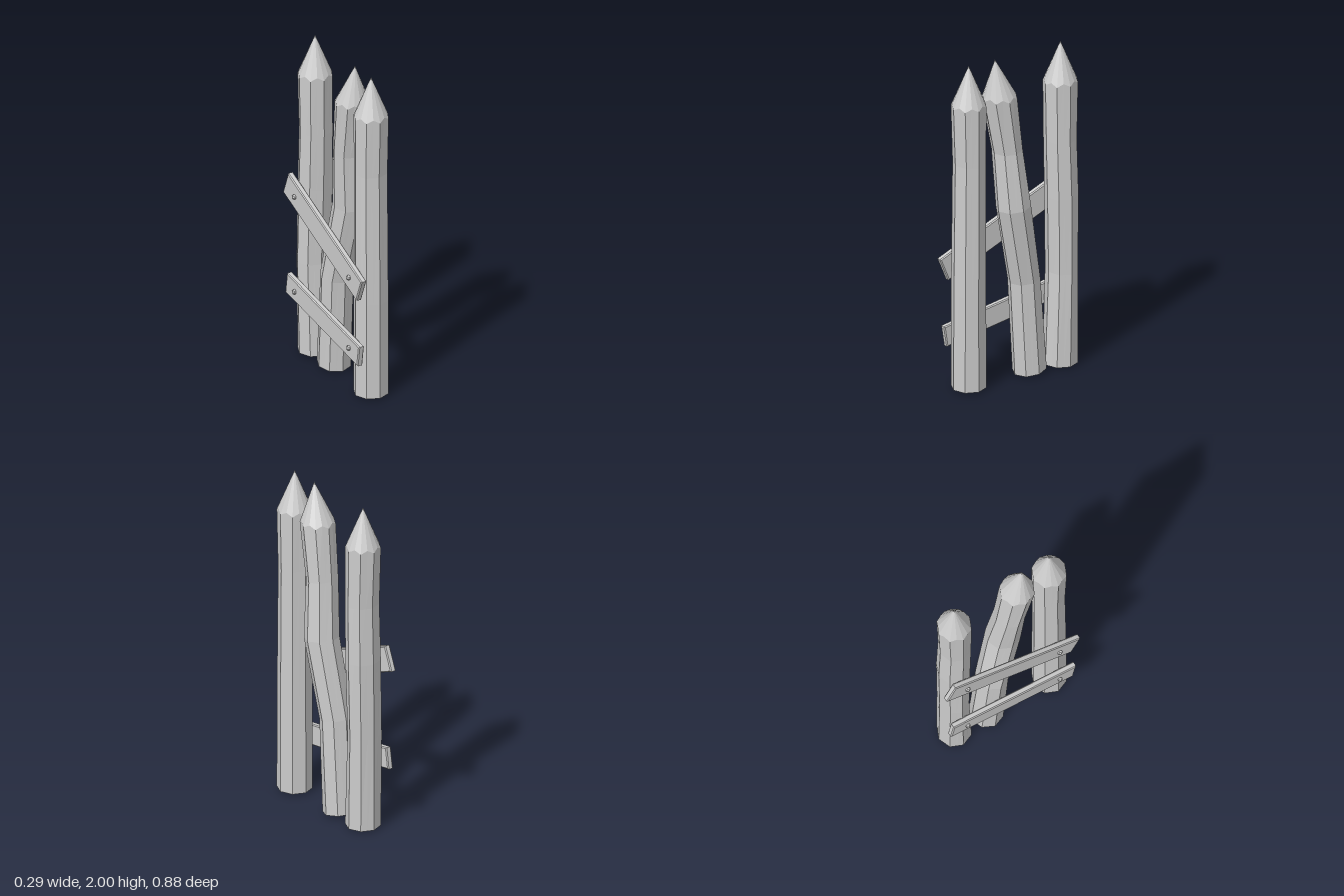
import * as THREE from 'three';

const material = new THREE.MeshStandardMaterial({ color: 0xcccccc, flatShading: true });
const SIDES = 16; // eight corners plus the middle of each flat face

// Sharpened octagonal stake lofted through rings of [y, x, z, radiusX, radiusZ, tilt]
function stake(name, rings, apex) {
  const points = [];
  const index = [];
  rings.forEach(([y, x, z, rx, rz, tilt = 0], k) => {
    for (let i = 0; i < SIDES; i++) {
      const a = (i / SIDES) * Math.PI * 2;
      const mid = i % 2 === 1;
      const s = mid ? Math.cos(Math.PI / 8) : 1;
      const dz = Math.sin(a) * rz * s;
      // the sharpening cut climbs higher on the flats than on the corners
      const rise = mid && k === rings.length - 1 ? 0.02 : 0;
      points.push(x + Math.cos(a) * rx * s, y + rise - dz * tilt, z + dz);
    }
  });
  const bottom = points.length / 3;
  points.push(rings[0][1], rings[0][0], rings[0][2], ...apex);
  const last = (rings.length - 1) * SIDES;
  for (let i = 0; i < SIDES; i++) {
    const j = (i + 1) % SIDES;
    index.push(bottom, i, j);
    for (let k = 0; k < last; k += SIDES) {
      index.push(k + i, k + SIDES + i, k + j, k + j, k + SIDES + i, k + SIDES + j);
    }
    index.push(last + i, bottom + 1, last + j);
  }
  const indexed = new THREE.BufferGeometry();
  indexed.setAttribute('position', new THREE.Float32BufferAttribute(points, 3));
  indexed.setIndex(index);
  const geometry = indexed.toNonIndexed();
  geometry.computeVertexNormals();
  const mesh = new THREE.Mesh(geometry, material);
  mesh.name = name;
  return mesh;
}

// Chamfered cross board with a nail near each end
function crossBoard(name, y, length, height, angle) {
  const group = new THREE.Group();
  group.name = name;
  const b = 0.006;
  const thickness = 0.036;
  const w = length / 2 - b;
  const h = height / 2 - b;
  const shape = new THREE.Shape([
    new THREE.Vector2(-w, -h), new THREE.Vector2(w, -h),
    new THREE.Vector2(w, h), new THREE.Vector2(-w, h),
  ]);
  const geometry = new THREE.ExtrudeGeometry(shape, {
    depth: thickness - 2 * b, bevelEnabled: true, bevelSize: b, bevelThickness: b, bevelSegments: 1,
  });
  geometry.translate(0, 0, b - thickness / 2);
  geometry.rotateY(Math.PI / 2); // length along z
  const board = new THREE.Mesh(geometry, material);
  board.name = 'board';
  group.add(board);

  for (const side of [-1, 1]) {
    const nail = new THREE.Mesh(new THREE.SphereGeometry(0.016, 6, 4), material);
    nail.name = 'nail';
    nail.scale.x = 1.15;
    nail.position.set(-thickness / 2 - 0.001, 0, (side * 0.305) / Math.cos(angle));
    group.add(nail);
  }
  group.position.set(-0.112, y, 0);
  group.rotation.x = angle;
  return group;
}

export function createModel() {
  const model = new THREE.Group();
  model.name = 'palisade';

  // Straight stake at the front
  model.add(stake('frontStake', [
    [0.01, 0.007, 0.317, 0.103, 0.103],
    [0.6, 0.007, 0.317, 0.102, 0.101],
    [1.4, 0.007, 0.313, 0.1, 0.095],
    [1.75, 0.007, 0.317, 0.103, 0.103],
  ], [0.007, 2, 0.317]));

  // Crooked, leaning stake in the middle
  model.add(stake('middleStake', [
    [0.016, 0.007, -0.1, 0.1, 0.1, 0.14],
    [0.59, 0.005, -0.063, 0.1, 0.092, 0.16],
    [1.07, 0.037, 0.03, 0.103, 0.102, 0.1],
    [1.42, 0.012, 0.057, 0.097, 0.087, 0.08],
    [1.75, 0.007, 0.105, 0.103, 0.103, 0],
  ], [0.007, 1.995, 0.137]));

  // Slightly bent stake at the back
  model.add(stake('backStake', [
    [0.01, 0.007, -0.312, 0.103, 0.102],
    [0.58, 0.003, -0.322, 0.106, 0.088],
    [1.05, 0.01, -0.317, 0.106, 0.095],
    [1.4, 0.01, -0.308, 0.102, 0.094],
    [1.75, 0.007, -0.312, 0.103, 0.102],
  ], [0.007, 2, -0.312]));

  // Two boards nailed across the stakes
  model.add(crossBoard('upperCrossBoard', 0.886, 0.893, 0.153, 0.39));
  model.add(crossBoard('lowerCrossBoard', 0.363, 0.82, 0.13, 0.155));
  return model;
}
